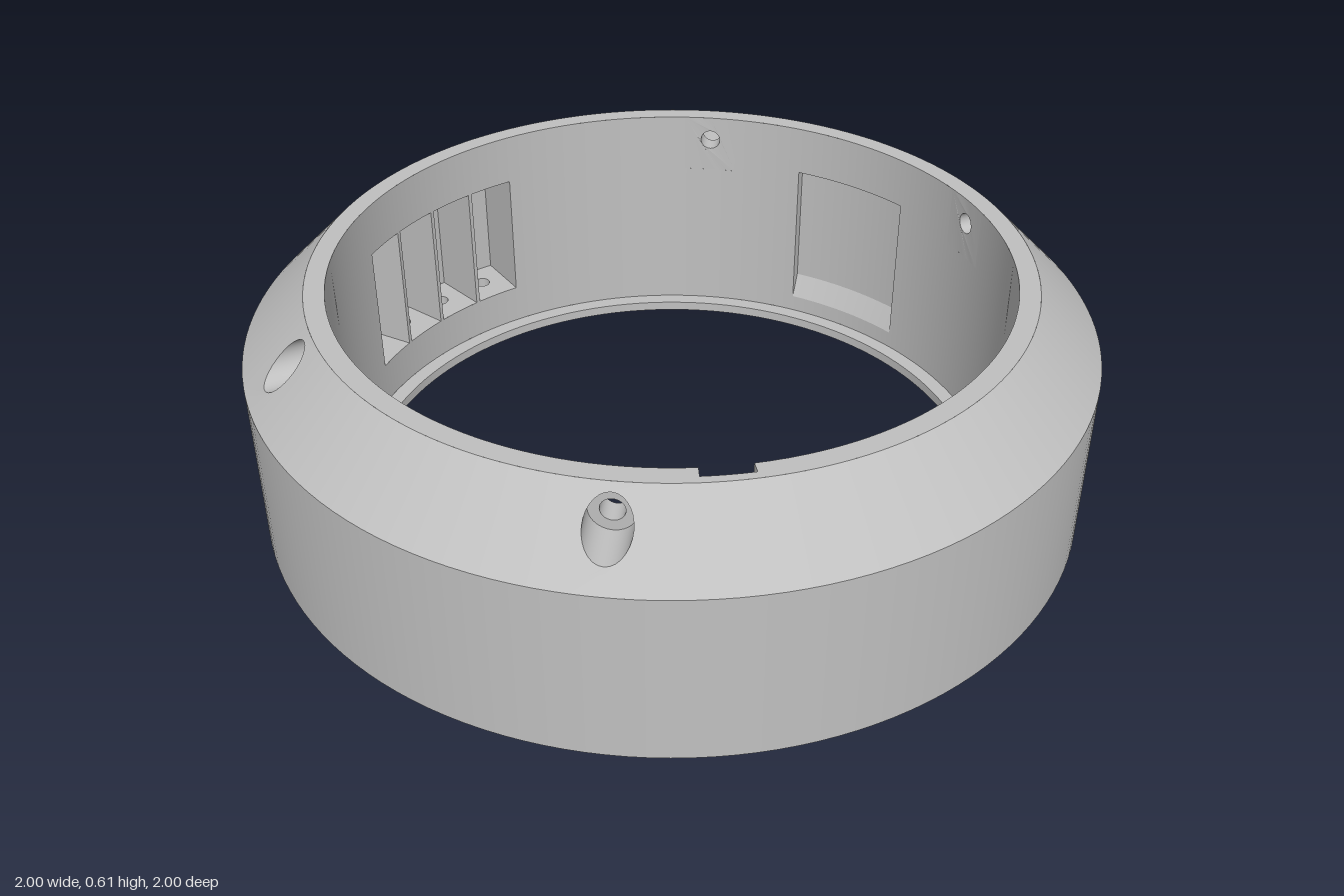
import * as THREE from 'three';
import { mergeGeometries } from 'three/addons/utils/BufferGeometryUtils.js';

const RAD = Math.PI / 180;
const H = 0.605, R_IN = 0.797, R_TOP = 0.845, R_OUT = 1, Y_CH = 0.45;
const BORE_Y = 0.54, BORE_R = 0.05, SCREW_R = 0.026, SEAT = 0.85;
const boreAngles = [-150, -30, 30, 150];
const chamferR = (y) => R_OUT - (y - Y_CH) * (R_OUT - R_TOP) / (H - Y_CH);
const wallR = () => R_IN;

// Revolved band between two profile points [r, y], angles in degrees from +z towards +x
function band(p, q, a0 = 0, a1 = 360) {
  const segs = Math.max(2, Math.ceil((a1 - a0) / 2.5));
  const pts = [new THREE.Vector2(...p), new THREE.Vector2(...q)];
  return new THREE.LatheGeometry(pts, segs, a0 * RAD, (a1 - a0) * RAD);
}

function bands(profile, a0, a1, skip = -1) {
  const out = [];
  for (let i = 0; i < profile.length - 1; i++) {
    if (i !== skip) out.push(band(profile[i], profile[i + 1], a0, a1));
  }
  return out;
}

// Curved panel with one opening, drawn as (angle, t) and bent by place(angle, t)
function panel(half, t0, t1, opening, place, centre) {
  const pts = [], n = 6;
  for (let i = 0; i <= n; i++) pts.push(new THREE.Vector2(-half + 2 * half * i / n, t0));
  for (let i = n; i >= 0; i--) pts.push(new THREE.Vector2(-half + 2 * half * i / n, t1));
  const shape = new THREE.Shape(pts);
  shape.holes.push(new THREE.Path(opening));
  const geo = new THREE.ShapeGeometry(shape);
  const pos = geo.attributes.position;
  for (let i = 0; i < pos.count; i++) pos.setXYZ(i, ...place(pos.getX(i), pos.getY(i)));
  geo.computeVertexNormals();
  return geo.rotateY(centre * RAD);
}

// Circle of points at a radial bore; depth(x, y) gives the distance from the axis
function boreRing(radius, depth) {
  return Array.from({ length: 28 }, (_, i) => {
    const t = i / 28 * Math.PI * 2, x = radius * Math.cos(t), y = BORE_Y + radius * Math.sin(t);
    return new THREE.Vector3(x, y, depth(x, y));
  });
}
const onSurface = (rOf) => (x, y) => Math.sqrt(rOf(y) ** 2 - x * x);

function loft(a, b) {
  const n = a.length, index = [], uv = new Float32Array(n * 4);
  for (let i = 0; i < n; i++) {
    const j = (i + 1) % n;
    index.push(i, n + i, j, j, n + i, n + j);
  }
  const geo = new THREE.BufferGeometry().setFromPoints([...a, ...b]);
  geo.setAttribute('uv', new THREE.BufferAttribute(uv, 2));
  geo.setIndex(index);
  geo.computeVertexNormals();
  return geo;
}

// Bent panel pierced by a bore, following radius rOf(y)
function boredPanel(y0, y1, radius, rOf, centre) {
  const opening = boreRing(radius, onSurface(rOf)).map((p) => new THREE.Vector2(Math.atan2(p.x, p.z), p.y));
  const place = (a, y) => [rOf(y) * Math.sin(a), y, rOf(y) * Math.cos(a)];
  return panel(5 * RAD, y0, y1, opening, place, centre);
}

// Recess in the inner wall: its revolved faces and two radial end faces
function pocket(profile, a0, a1, skip) {
  const parts = bands(profile, a0, a1, skip);
  const shape = new THREE.Shape(profile.map((p) => new THREE.Vector2(...p)));
  for (const a of [a0, a1]) {
    parts.push(new THREE.ShapeGeometry(shape).rotateY(a * RAD - Math.PI / 2));
  }
  return parts;
}

// Calls fill(a0, a1) for every stretch of the circle not taken by a feature
function fillGaps(features, fill) {
  const sorted = [...features].sort((p, q) => p.a0 - q.a0);
  sorted.forEach((f, i) => {
    const next = i + 1 < sorted.length ? sorted[i + 1].a0 : sorted[0].a0 + 360;
    fill(f.a1, next);
  });
}

export function createModel() {
  const group = new THREE.Group();
  const grey = new THREE.MeshStandardMaterial({ color: 0xc0c0c0, side: THREE.DoubleSide });
  grey.name = 'plain grey';
  const add = (name, parts) => {
    const mesh = new THREE.Mesh(mergeGeometries(parts), grey);
    mesh.name = name;
    group.add(mesh);
  };
  const bores = boreAngles.map((a) => ({ a, a0: a - 5, a1: a + 5 }));

  // Outer wall with the stepped foot
  add('outerWall', bands([[0.965, 0], [0.965, 0.03], [R_OUT, 0.03], [R_OUT, Y_CH]]));

  // Sloped shoulder, pierced by four screw bores
  const shoulder = bores.map((b) => boredPanel(Y_CH, H, BORE_R, chamferR, b.a));
  fillGaps(bores, (a0, a1) => shoulder.push(band([R_OUT, Y_CH], [R_TOP, H], a0, a1)));
  add('shoulder', shoulder);

  // Counterbored screw holes
  const flat = () => SEAT;
  add('screwHoles', boreAngles.flatMap((a) => [
    loft(boreRing(BORE_R, onSurface(chamferR)), boreRing(BORE_R, flat)),
    loft(boreRing(BORE_R, flat), boreRing(SCREW_R, flat)),
    loft(boreRing(SCREW_R, flat), boreRing(SCREW_R, onSurface(wallR))),
  ].map((g) => g.rotateY(a * RAD))));

  // Recesses: four lamp cells on each side, a back recess and a key groove
  const cellProfile = [[R_IN, 0.475], [0.88, 0.475], [0.95, 0.42], [0.95, 0.14], [R_IN, 0.14]];
  const backProfile = [[R_IN, 0.476], [0.825, 0.476], [0.825, 0.14], [R_IN, 0.08]];
  const grooveProfile = [[R_IN, H], [0.825, H], [0.825, 0.2], [R_IN, 0.2]];
  const cells = [];
  for (const side of [-90, 90]) {
    for (let i = 0; i < 4; i++) {
      const a = side + (i - 1.5) * 9.5;
      cells.push({ a, a0: a - 4.37, a1: a + 4.37, low: 0.14, high: 0.475 });
    }
  }
  const back = { a0: 168.3, a1: 191.7, low: 0.08, high: 0.476 };
  const groove = { a0: 41.3, a1: 49.1, low: 0.2, high: H };
  add('backRecess', pocket(backProfile, back.a0, back.a1));
  add('keyGroove', pocket(grooveProfile, groove.a0, groove.a1, 0));

  // Lamp cells, each with a small light hole through its floor
  const LIGHT_R = 0.88, LIGHT = 0.022;
  const lightHole = Array.from({ length: 16 }, (_, i) => {
    const t = i / 8 * Math.PI;
    return new THREE.Vector2(LIGHT * Math.cos(t) / LIGHT_R, LIGHT_R + LIGHT * Math.sin(t));
  });
  add('lampCells', cells.flatMap((c) => [
    ...pocket(cellProfile, c.a0, c.a1, 3),
    panel(4.37 * RAD, R_IN, 0.95, lightHole, (a, r) => [r * Math.sin(a), 0.14, r * Math.cos(a)], c.a),
    new THREE.CylinderGeometry(LIGHT, LIGHT, 0.14, 16, 1, true)
      .translate(0, 0.07, LIGHT_R).rotateY(c.a * RAD),
  ]));

  // Inner wall around the recesses and bores
  const LIP_Y = 0.035;
  const wall = bores.map((b) => boredPanel(0.45, H, SCREW_R, wallR, b.a));
  bores.forEach((b) => wall.push(band([R_IN, 0.45], [R_IN, LIP_Y], b.a0, b.a1)));
  for (const f of [...cells, back, groove]) {
    wall.push(band([R_IN, f.low], [R_IN, LIP_Y], f.a0, f.a1));
    if (f.high < H) wall.push(band([R_IN, H], [R_IN, f.high], f.a0, f.a1));
  }
  fillGaps([...bores, ...cells, back, groove], (a0, a1) => wall.push(band([R_IN, H], [R_IN, LIP_Y], a0, a1)));
  add('innerWall', wall);

  // Top rim, narrowed at the key groove
  add('topRim', [
    band([R_TOP, H], [R_IN, H], groove.a1, groove.a0 + 360),
    band([R_TOP, H], [0.825, H], groove.a0, groove.a1),
  ]);

  // Inner lip with a shallow recess below
  add('innerLip', bands([[R_IN, LIP_Y], [0.757, LIP_Y], [0.757, 0.01], [0.808, 0.01], [0.808, 0]]));

  // Underside ring with the light holes
  const base = new THREE.Shape().absarc(0, 0, 0.965, 0, Math.PI * 2);
  base.holes.push(new THREE.Path().absarc(0, 0, 0.808, 0, Math.PI * 2, true));
  for (const c of cells) {
    const x = LIGHT_R * Math.sin(c.a * RAD), z = LIGHT_R * Math.cos(c.a * RAD);
    base.holes.push(new THREE.Path().absarc(x, z, LIGHT, 0, Math.PI * 2, true));
  }
  add('underside', [new THREE.ShapeGeometry(base, 72).rotateX(Math.PI / 2)]);

  return group;
}
